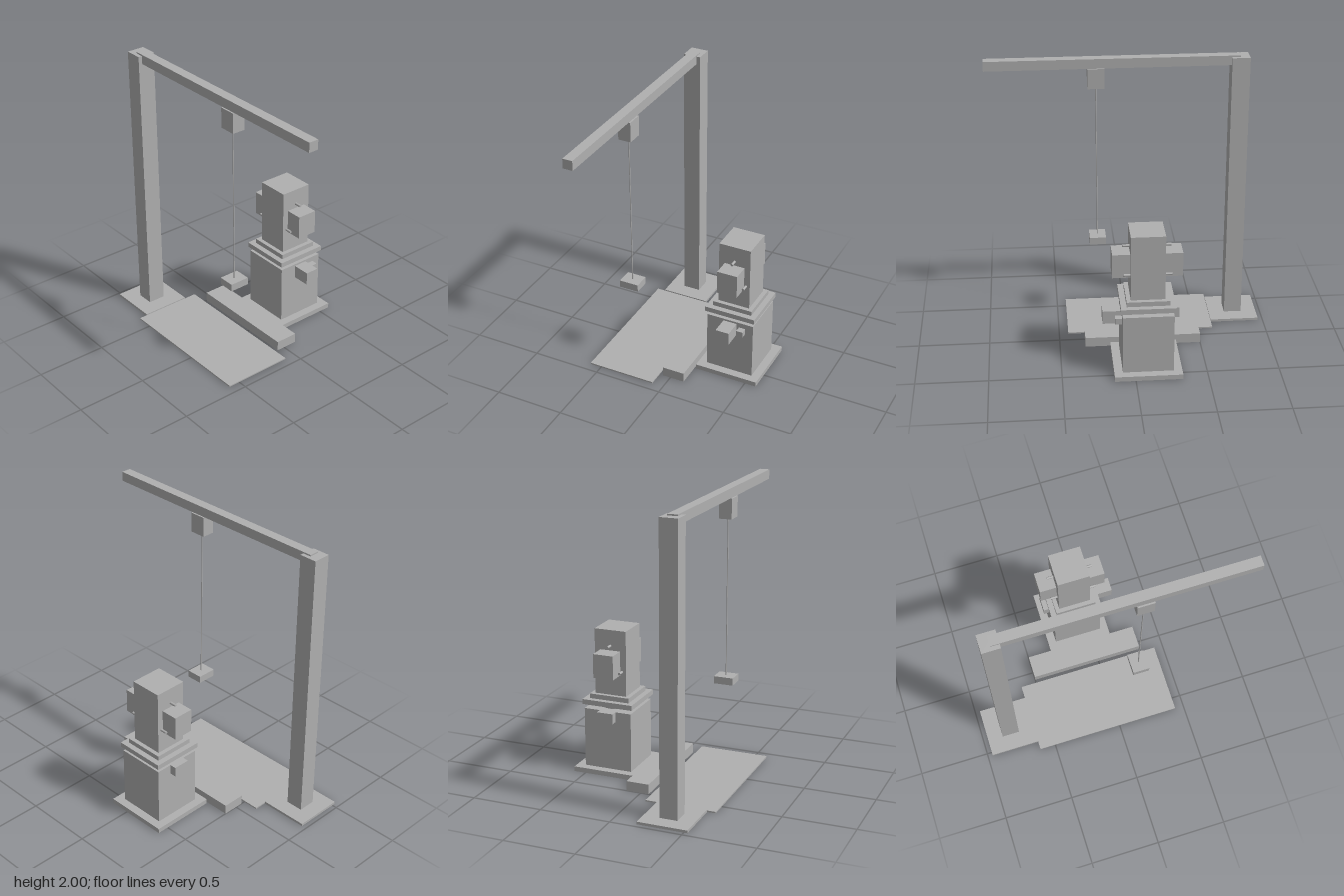
import * as THREE from 'three';

const steel = new THREE.MeshStandardMaterial({ color: 0xb0b0b0 });
steel.name = 'plain grey';

export function createModel() {
  const model = new THREE.Group();
  model.name = 'machineWithHoist';

  const group = (name) => {
    const g = new THREE.Group();
    g.name = name;
    model.add(g);
    return g;
  };

  // Box given by its extents on each axis
  const box = (parent, name, [x0, x1], [y0, y1], [z0, z1]) => {
    const mesh = new THREE.Mesh(new THREE.BoxGeometry(x1 - x0, y1 - y0, z1 - z0), steel);
    mesh.position.set((x0 + x1) / 2, (y0 + y1) / 2, (z0 + z1) / 2);
    mesh.name = name;
    parent.add(mesh);
  };

  const rod = (parent, name, radius, length, x, y, z, sides = 24) => {
    const mesh = new THREE.Mesh(new THREE.CylinderGeometry(radius, radius, length, sides), steel);
    mesh.position.set(x, y, z);
    mesh.name = name;
    parent.add(mesh);
    return mesh;
  };

  // Jib crane
  const crane = group('crane');
  box(crane, 'mastFoot', [-0.965, -0.615], [0, 0.018], [0.175, 0.525]);
  box(crane, 'mast', [-0.855, -0.73], [0.018, 1.99], [0.287, 0.413]);
  box(crane, 'boom', [-0.79, 0.965], [1.932, 2], [0.315, 0.385]);
  box(crane, 'hoist', [0.143, 0.26], [1.79, 1.932], [0.304, 0.396]);
  rod(crane, 'cable', 0.004, 1.123, 0.202, 1.2285, 0.35, 12);
  box(crane, 'hookBlock', [0.143, 0.26], [0.618, 0.67], [0.28, 0.42]);

  // Floor items
  box(model, 'floorPlate', [-0.615, 0.435], [0, 0.01], [0.085, 0.585]);
  box(model, 'step', [-0.5, 0.32], [0, 0.07], [-0.105, 0.058]);

  // Machine: square tiers stacked on a common axis
  const machine = group('machine');
  const cx = -0.09, cz = -0.35;
  const tiers = [
    ['basePlate', 0.468, 0, 0.035],
    ['cabinet', 0.35, 0.035, 0.46],
    ['lowerFlange', 0.374, 0.492, 0.528],
    ['upperFlange', 0.294, 0.528, 0.562],
    ['column', 0.234, 0.562, 1.03],
  ];
  for (const [name, size, y0, y1] of tiers) {
    const h = size / 2;
    box(machine, name, [cx - h, cx + h], [y0, y1], [cz - h, cz + h]);
  }
  rod(machine, 'neck', 0.122, 0.034, cx, 0.476, cz, 48);

  // Side heads and their locating pins, mirrored across the column
  for (const s of [-1, 1]) {
    const side = s > 0 ? 'left' : 'right';
    const span = [cx + s * 0.117, cx + s * 0.238].sort((a, b) => a - b);
    box(machine, side + 'Head', span, [0.713, 0.884], [cz - 0.074, cz + 0.074]);
    for (const [y, dz] of [[0.916, 0], [0.738, -0.087], [0.738, 0.087]]) {
      rod(machine, side + 'Pin', 0.009, 0.055, cx + s * 0.1375, y, cz + dz, 16).rotation.z = Math.PI / 2;
    }
  }

  // Boxes on the cabinet sides
  box(machine, 'leftControlBox', [0.085, 0.214], [0.352, 0.446], [-0.4, -0.3]);
  box(machine, 'smallJunctionBox', [0.085, 0.132], [0.38, 0.423], [-0.467, -0.419]);
  box(machine, 'rightControlBox', [-0.311, -0.265], [0.388, 0.46], [-0.41, -0.29]);

  return model;
}
